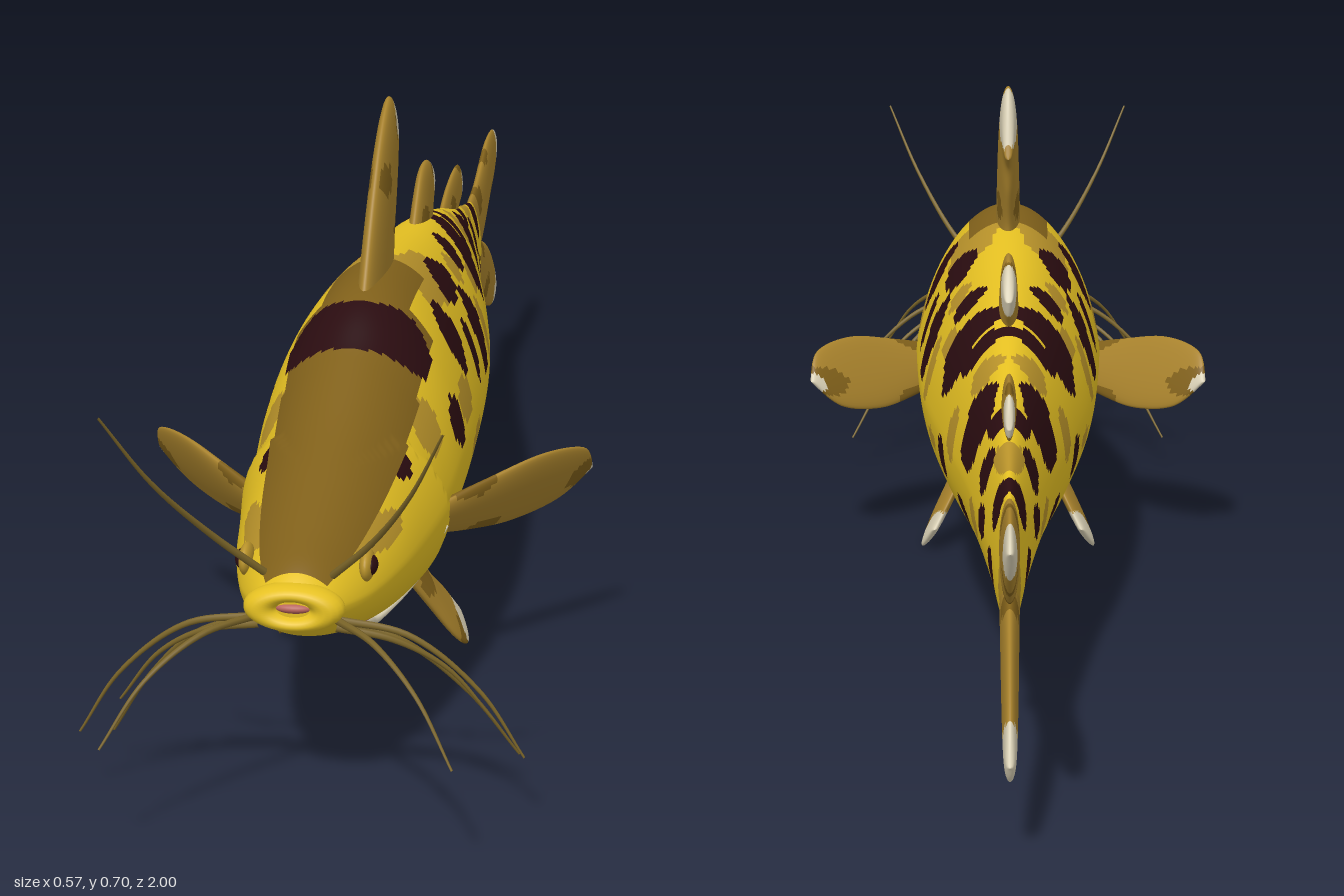
import * as THREE from 'three';

const mat = (name, color) => Object.assign(new THREE.MeshStandardMaterial({ color }), { name });
const YELLOW = 0, BROWN = 1, OCHRE = 2, DARK = 3, TAN = 4, WHITE = 5, PINK = 6, BARBEL = 7;
const MATS = [
  mat('yellow skin', 0xe6c122), mat('brown back', 0x80601a), mat('ochre patch', 0xb8922a),
  mat('dark spot', 0x2a0c10), mat('tan fin', 0xa8822c), mat('white tip', 0xd8cfb4),
  mat('pink membrane', 0xb5625a), mat('barbel brown', 0x7a6428),
];

const spline = (pts) => new THREE.SplineCurve(pts.map((p) => new THREE.Vector2(p[0], p[1])));

// Closed-ring surface: point(u, v) gives a position, pick(v, p) a material index
function ringMesh(name, nu, nv, point, pick) {
  const P = [], pos = [], buckets = MATS.map(() => []);
  for (let i = 0; i <= nu; i++) for (let j = 0; j < nv; j++) {
    const p = point(i / nu, j / nv);
    P.push(p);
    pos.push(p.x, p.y, p.z);
  }
  let volume = 0;
  const n = new THREE.Vector3();
  for (let i = 0; i < nu; i++) for (let j = 0; j < nv; j++) {
    const k = (j + 1) % nv;
    const a = i * nv + j, b = i * nv + k, c = a + nv, d = b + nv;
    const mid = P[a].clone().add(P[d]).multiplyScalar(0.5);
    buckets[pick((j + 0.5) / nv, mid)].push(a, b, c, b, d, c);
    n.crossVectors(P[b].clone().sub(P[a]), P[c].clone().sub(P[a]));
    const centre = P[i * nv].clone().add(P[i * nv + nv / 2]).multiplyScalar(0.5);
    volume += n.dot(mid.sub(centre));
  }
  const geo = new THREE.BufferGeometry(), index = [];
  buckets.forEach((b, m) => {
    if (!b.length) return;
    if (volume < 0) for (let q = 0; q < b.length; q += 3) [b[q], b[q + 1]] = [b[q + 1], b[q]];
    geo.addGroup(index.length, b.length, m);
    for (const q of b) index.push(q);
  });
  geo.setIndex(index);
  geo.setAttribute('position', new THREE.Float32BufferAttribute(pos, 3));
  geo.computeVertexNormals();
  const mesh = new THREE.Mesh(geo, MATS);
  mesh.name = name;
  return mesh;
}

// Body stations: z, top, bottom, half width
const STATIONS = [
  [0.87, 0.275, 0.268, 0.004], [0.865, 0.292, 0.25, 0.035], [0.83, 0.315, 0.225, 0.06], [0.77, 0.335, 0.2, 0.082],
  [0.68, 0.365, 0.172, 0.1], [0.58, 0.4, 0.145, 0.112], [0.47, 0.447, 0.125, 0.124], [0.36, 0.495, 0.117, 0.131],
  [0.22, 0.5, 0.122, 0.13], [0, 0.475, 0.137, 0.117], [-0.2, 0.45, 0.152, 0.09], [-0.4, 0.405, 0.172, 0.055],
  [-0.6, 0.355, 0.184, 0.028], [-0.7, 0.335, 0.185, 0.017], [-0.76, 0.32, 0.19, 0.008], [-0.77, 0.26, 0.25, 0.001],
];
const [TOP, BOTTOM, WIDTH] = [1, 2, 3].map((c) => spline(STATIONS.map((s) => [s[0], s[c]])));

function bodyPoint(u, v) {
  const a = v * Math.PI * 2, c = Math.cos(a);
  const top = TOP.getPoint(u), bot = BOTTOM.getPoint(u).y, w = WIDTH.getPoint(u).y, z = top.x;
  const cy = bot + 0.47 * (top.y - bot);
  const y = cy + c * (c > 0 ? top.y - cy : cy - bot);
  let x = w * Math.sin(a) * (1 - 0.17 * Math.max(0, c));
  // swollen gill cover with a stepped rear edge
  const edge = 0.49 + ((y - 0.24) / 0.1) ** 2 * 0.035;
  if (z > edge && z < 0.76 && y < 0.37) x *= 1 + 0.07 * (0.76 - z) / 0.27;
  return new THREE.Vector3(x, y, z);
}

// Skin markings as ellipses: z, y, z radius, y radius
const SPOTS = [
  [0.58, 0.375, 0.03, 0.045], [0.5, 0.415, 0.022, 0.025], [0.405, 0.46, 0.048, 0.05], [0.37, 0.335, 0.028, 0.033],
  [0.25, 0.41, 0.04, 0.042], [0.11, 0.445, 0.055, 0.026], [0.15, 0.365, 0.024, 0.045], [0.05, 0.36, 0.043, 0.058],
  [-0.06, 0.435, 0.032, 0.024], [-0.17, 0.4, 0.055, 0.058], [-0.245, 0.415, 0.025, 0.035], [-0.2, 0.26, 0.03, 0.03],
  [-0.395, 0.345, 0.056, 0.056], [-0.33, 0.225, 0.033, 0.02], [-0.48, 0.375, 0.03, 0.02],
  [-0.525, 0.325, 0.028, 0.03], [-0.55, 0.27, 0.028, 0.022], [-0.65, 0.32, 0.03, 0.03], [-0.64, 0.235, 0.03, 0.027],
];
const PATCHES = [
  [0.71, 0.31, 0.06, 0.018], [0.46, 0.2, 0.03, 0.025], [0.47, 0.36, 0.035, 0.035], [0.3, 0.345, 0.045, 0.025],
  [0.22, 0.27, 0.05, 0.018], [0.18, 0.465, 0.08, 0.03], [0.01, 0.245, 0.03, 0.016], [-0.03, 0.34, 0.025, 0.045],
  [-0.1, 0.26, 0.035, 0.014], [-0.09, 0.39, 0.03, 0.02], [0, 0.43, 0.03, 0.02], [-0.28, 0.31, 0.025, 0.035],
  [-0.32, 0.4, 0.03, 0.025], [-0.46, 0.25, 0.03, 0.025], [-0.58, 0.36, 0.04, 0.02], [-0.76, 0.25, 0.03, 0.1],
];
const marked = (list, p) => list.some(([z, y, rz, ry]) =>
  Math.hypot((p.z - z) / rz, (p.y - y) / ry) < 1 + 0.09 * Math.sin(p.z * 55 + p.y * 70));

function skin(v, p) {
  const c = Math.cos(v * Math.PI * 2), x = Math.abs(p.x);
  if (p.z > 0.46 && p.z < 0.845 && c > 0.64) return BROWN;
  if (marked(SPOTS, p)) return DARK;
  // folded membrane under the throat
  if (c < -0.4 && x < 0.062 && p.z > 0.67 - x * 1.4 && p.z < 0.79 - x * 0.9) return PINK;
  if (p.z > 0.2 && p.z <= 0.46 && c > (p.z > 0.34 ? 0.66 : 0.86)) return BROWN;
  return marked(PATCHES, p) ? OCHRE : YELLOW;
}

// Fin lofted between two edges; tip is the pale area as z, y, radius
function fin(name, lead, trail, thick, place, tip) {
  const A = spline(lead), B = spline(trail);
  return ringMesh(name, 36, 36, (t, v) => {
    const a = v * Math.PI * 2;
    const p = A.getPoint(t).lerp(B.getPoint(t), (1 - Math.cos(a)) / 2);
    return place(p.x, p.y, thick * (1 - 0.45 * t) * Math.sqrt(1 - t ** 6) * Math.sin(a));
  }, (v, p) => {
    if (Math.hypot(p.z - tip[0], p.y - tip[1]) < tip[2]) return WHITE;
    return Math.sin(p.z * 38 + p.y * 14) * Math.sin(p.y * 42 - p.z * 9) > 0.62 ? BROWN : TAN;
  });
}

// Tapering strand along a smooth path
function strand(name, m, pts, r) {
  const path = new THREE.CatmullRomCurve3(pts.map((p) => new THREE.Vector3(...p)));
  const geo = new THREE.TubeGeometry(path, 28, r, 7), pos = geo.attributes.position;
  const q = new THREE.Vector3();
  for (let i = 0; i < pos.count; i++) {
    const t = Math.floor(i / 8) / 28;
    q.fromBufferAttribute(pos, i).lerp(path.getPointAt(t), 0.7 * t);
    pos.setXYZ(i, q.x, q.y, q.z);
  }
  const mesh = new THREE.Mesh(geo, MATS[m]);
  mesh.name = name;
  return mesh;
}

function ellipsoid(name, m, pos, scale) {
  const mesh = new THREE.Mesh(new THREE.SphereGeometry(1, 24, 16), MATS[m]);
  mesh.name = name;
  mesh.position.set(...pos);
  mesh.scale.set(...scale);
  return mesh;
}

export function createModel() {
  const g = new THREE.Group();
  g.name = 'catfish';
  g.add(ringMesh('body', 320, 120, bodyPoint, skin));

  // Mouth
  const lips = new THREE.Mesh(new THREE.TorusGeometry(0.038, 0.021, 16, 40), MATS[YELLOW]);
  lips.name = 'lips';
  lips.position.set(0, 0.271, 0.86);
  lips.scale.set(1, 0.48, 1);
  g.add(lips, ellipsoid('mouth', PINK, [0, 0.272, 0.863], [0.024, 0.007, 0.012]));

  // Fins on the centre line
  const centre = (z, y, off) => new THREE.Vector3(off, y, z);
  g.add(
    fin('dorsalFin', [[0.37, 0.47], [0.3, 0.565], [0.23, 0.645], [0.165, 0.692], [0.125, 0.69], [0.088, 0.605]],
      [[0.15, 0.46], [0.15, 0.5], [0.13, 0.55], [0.115, 0.59], [0.088, 0.605]], 0.018, centre, [0.1, 0.665, 0.044]),
    fin('adiposeFin', [[-0.06, 0.44], [-0.11, 0.49], [-0.16, 0.525], [-0.22, 0.522], [-0.26, 0.48]],
      [[-0.22, 0.42], [-0.235, 0.445], [-0.25, 0.46], [-0.26, 0.48]], 0.014, centre, [-0.255, 0.5, 0.04]),
    fin('rearDorsalFin', [[-0.34, 0.4], [-0.42, 0.425], [-0.5, 0.436], [-0.55, 0.43], [-0.57, 0.39]],
      [[-0.5, 0.355], [-0.53, 0.37], [-0.56, 0.375], [-0.57, 0.39]], 0.01, centre, [-0.575, 0.41, 0.032]),
    fin('analFin', [[-0.04, 0.165], [-0.09, 0.1], [-0.14, 0.055], [-0.19, 0.042], [-0.23, 0.065]],
      [[-0.215, 0.18], [-0.222, 0.15], [-0.225, 0.11], [-0.23, 0.065]], 0.013, centre, [-0.22, 0.05, 0.044]),
    fin('rearAnalFin', [[-0.37, 0.19], [-0.44, 0.145], [-0.5, 0.118], [-0.55, 0.115], [-0.568, 0.145]],
      [[-0.51, 0.205], [-0.535, 0.185], [-0.555, 0.165], [-0.568, 0.145]], 0.01, centre, [-0.57, 0.125, 0.034]),
    fin('upperTailLobe', [[-0.66, 0.335], [-0.78, 0.35], [-0.89, 0.383], [-0.97, 0.384], [-1, 0.36]],
      [[-0.68, 0.225], [-0.775, 0.235], [-0.87, 0.272], [-0.955, 0.31], [-1, 0.36]], 0.013, centre, [-1, 0.355, 0.045]),
    fin('lowerTailLobe', [[-0.66, 0.19], [-0.77, 0.17], [-0.88, 0.115], [-0.97, 0.09], [-1, 0.115]],
      [[-0.68, 0.265], [-0.775, 0.252], [-0.89, 0.212], [-0.97, 0.16], [-1, 0.115]], 0.013, centre, [-1, 0.115, 0.05]),
  );

  // Paired parts
  for (const [s, side] of [[1, 'left'], [-1, 'right']]) {
    g.add(
      fin(side + 'PectoralFin', [[0, 0.26], [0.08, 0.28], [0.16, 0.296], [0.23, 0.287], [0.26, 0.25]],
        [[0, 0.215], [0.08, 0.2], [0.15, 0.195], [0.22, 0.21], [0.26, 0.25]], 0.014, (u, y, off) => {
          const n = off + (y - 0.245) * 0.5;
          return new THREE.Vector3(s * (0.1 + u * 0.7 + n * 0.73), y, 0.465 - u * 0.77 + n * 0.68);
        }, [0.255, 0.25, 0.022]),
      fin(side + 'PelvicFin', [[0.395, 0.16], [0.345, 0.075], [0.31, 0.018], [0.275, 0.002], [0.242, 0.035]],
        [[0.3, 0.16], [0.29, 0.11], [0.262, 0.075], [0.242, 0.035]], 0.013,
        (z, y, off) => new THREE.Vector3(s * (0.055 + (0.13 - y) * 0.54 + off), y, z), [0.25, 0.02, 0.038]),
      ellipsoid(side + 'EyeRing', OCHRE, [s * 0.071, 0.294, 0.775], [0.009, 0.019, 0.024]),
      ellipsoid(side + 'Eye', DARK, [s * 0.075, 0.295, 0.777], [0.009, 0.012, 0.015]),
      strand(side + 'GillRim', WHITE, [[0.05, 0.207, 0.75], [0.055, 0.178, 0.66], [0.057, 0.159, 0.6],
        [0.094, 0.188, 0.54], [0.127, 0.245, 0.5]].map(([x, y, z]) => [s * x, y, z]), 0.007),
    );
    const whiskers = [
      [[0.04, 0.3, 0.83], [0.09, 0.355, 0.87], [0.145, 0.44, 0.94], [0.19, 0.535, 1]],
      [[0.045, 0.255, 0.85], [0.1, 0.25, 0.91], [0.155, 0.21, 0.96], [0.2, 0.14, 0.995]],
      [[0.045, 0.25, 0.84], [0.13, 0.235, 0.84], [0.21, 0.17, 0.835], [0.262, 0.088, 0.83]],
      [[0.045, 0.245, 0.83], [0.12, 0.215, 0.81], [0.19, 0.14, 0.77], [0.245, 0.048, 0.73]],
      [[0.045, 0.24, 0.84], [0.11, 0.225, 0.83], [0.17, 0.185, 0.81], [0.222, 0.115, 0.79]],
    ];
    whiskers.forEach((p, i) => g.add(
      strand(`${side}Barbel${i + 1}`, BARBEL, p.map(([x, y, z]) => [s * x, y, z]), 0.0048)));
  }
  return g;
}
